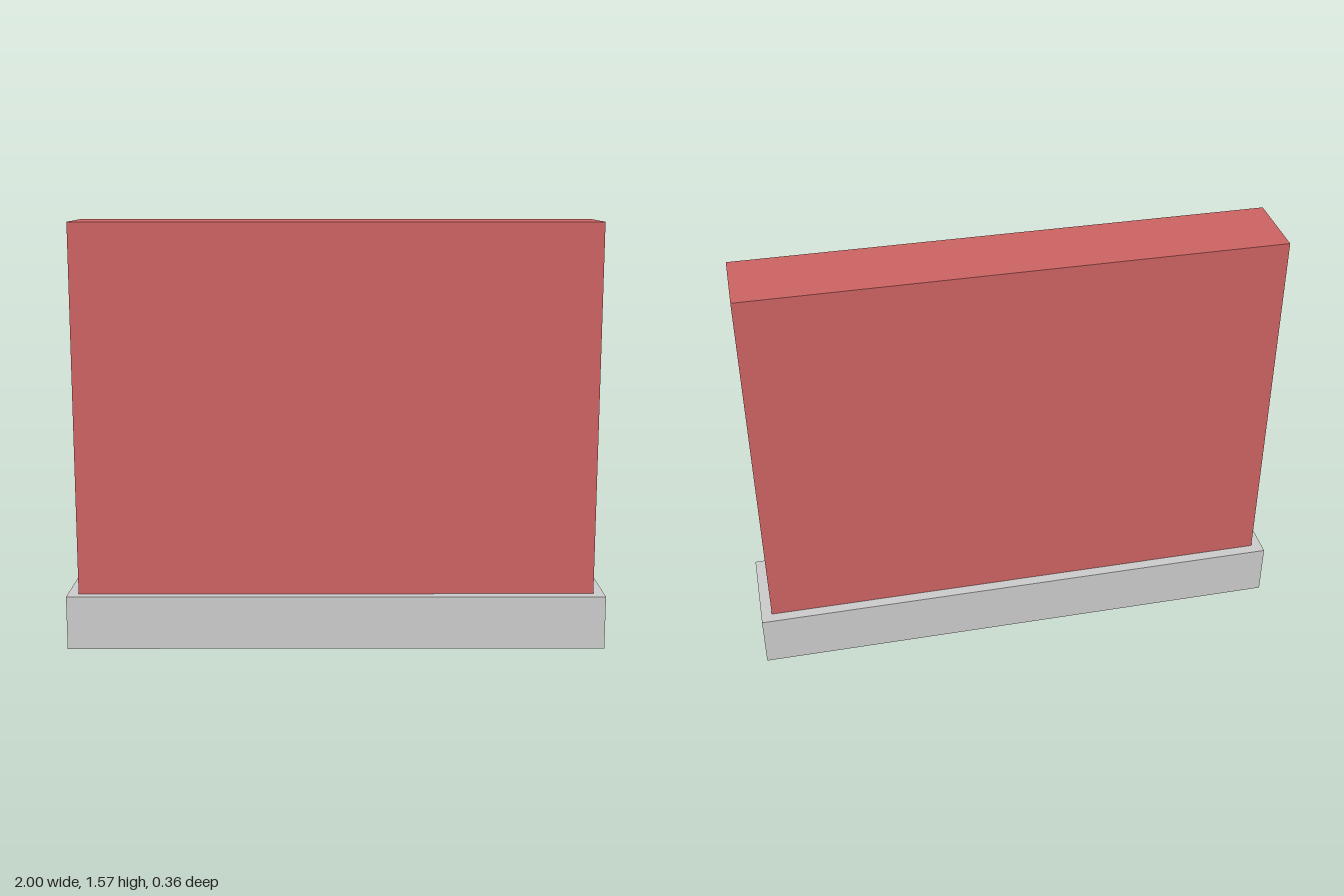
import * as THREE from 'three';

// Flat-sided open shell through stacked rectangles [halfWidth, y, halfDepth]
function rectShell(sections) {
  const corners = [[1, 1], [1, -1], [-1, -1], [-1, 1]];
  const pos = [];
  const point = ([w, y, d], i) => [corners[i % 4][0] * w, y, corners[i % 4][1] * d];
  for (let s = 0; s < sections.length - 1; s++) {
    for (let i = 0; i < 4; i++) {
      const a = point(sections[s], i), b = point(sections[s], i + 1);
      const c = point(sections[s + 1], i + 1), d = point(sections[s + 1], i);
      pos.push(...a, ...b, ...c, ...a, ...c, ...d);
    }
  }
  const geometry = new THREE.BufferGeometry();
  geometry.setAttribute('position', new THREE.Float32BufferAttribute(pos, 3));
  geometry.computeVertexNormals();
  return geometry;
}

export function createModel() {
  const model = new THREE.Group();
  model.name = 'wallOnPlinth';
  const stone = new THREE.MeshStandardMaterial({ color: 0xcccccc, side: THREE.DoubleSide });
  const brick = new THREE.MeshStandardMaterial({ color: 0xcc6262, side: THREE.DoubleSide });

  const BASE_Y = 0.2, TOP_Y = 1.574;
  const W = 0.96, D = 0.138, LEDGE = 0.04;

  // Plinth: hollow below, with a narrow ledge around the wall
  const plinth = new THREE.Mesh(rectShell([
    [W + LEDGE, 0, D + LEDGE],
    [W + LEDGE, BASE_Y, D + LEDGE],
    [W, BASE_Y, D],
  ]), stone);
  plinth.name = 'plinth';

  // Wall: four sides, open into the plinth, closed on top
  const wall = new THREE.Group();
  wall.name = 'wall';
  const sides = new THREE.Mesh(rectShell([[W, BASE_Y, D], [W, TOP_Y, D]]), brick);
  sides.name = 'wallSides';
  const top = new THREE.Mesh(new THREE.PlaneGeometry(2 * W, 2 * D).rotateX(-Math.PI / 2), brick);
  top.name = 'wallTop';
  top.position.y = TOP_Y;
  wall.add(sides, top);

  model.add(plinth, wall);
  return model;
}
